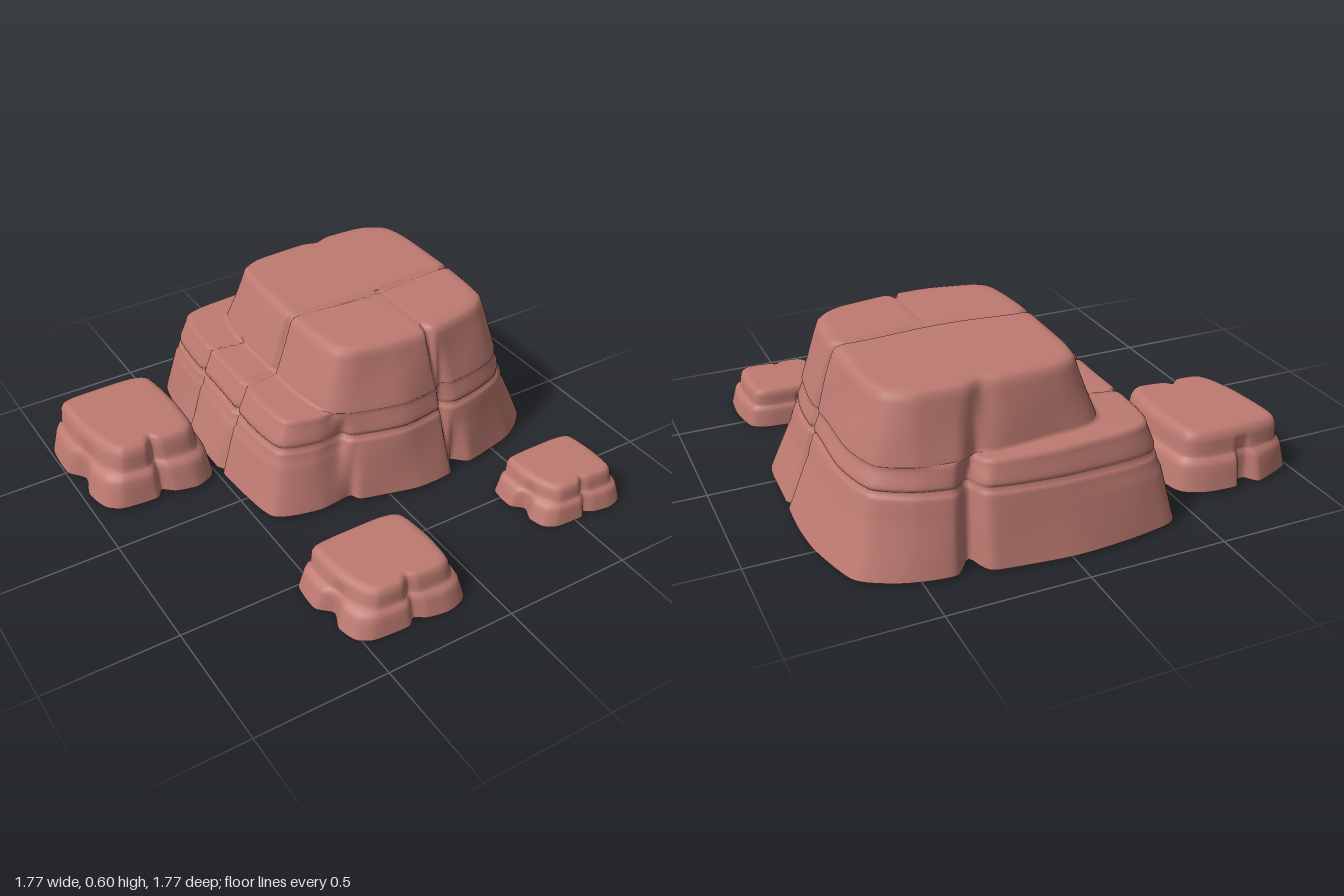
import * as THREE from 'three';

const SEG = 320;
const rockMaterial = new THREE.MeshStandardMaterial({ color: 0xbd7a71, side: THREE.DoubleSide });
rockMaterial.name = 'red sandstone';

// Radius of a closed outline around (cx, cz), sampled at SEG even angles
function radii(points, cx, cz, tension = 0.35) {
  const curve = new THREE.CatmullRomCurve3(
    points.map(([x, z]) => new THREE.Vector3(x - cx, 0, z - cz)), true, 'catmullrom', tension);
  const pts = curve.getPoints(500);
  return Array.from({ length: SEG }, (_, j) => {
    const a = (j / SEG) * Math.PI * 2, dx = Math.cos(a), dz = Math.sin(a);
    let best = 0;
    for (let i = 0; i < pts.length - 1; i++) {
      const p = pts[i], ex = pts[i + 1].x - p.x, ez = pts[i + 1].z - p.z;
      const den = dx * ez - dz * ex;
      if (Math.abs(den) < 1e-9) continue;
      const r = (p.x * ez - p.z * ex) / den;
      const s = (p.x * dz - p.z * dx) / den;
      if (r > best && s >= -1e-6 && s <= 1 + 1e-6) best = r;
    }
    return best;
  });
}

// Open-bottomed shell: keys are [height, radii, inset, steps], closed by a flat cap
function shell(name, keys, cx, cz, warp) {
  const rings = [];
  keys.forEach(([y, r, inset = 0, steps = 1], k) => {
    const prev = k ? keys[k - 1] : null;
    for (let s = prev ? 1 : steps; s <= steps; s++) {
      const t = s / steps;
      rings.push({
        y: prev ? THREE.MathUtils.lerp(prev[0], y, t) : y,
        r: r.map((v, j) => prev
          ? THREE.MathUtils.lerp(prev[1][j] - (prev[2] || 0), v - inset, t) : v - inset),
      });
    }
  });
  const rim = rings[rings.length - 1];
  for (let i = 1; i <= 20; i++) {
    rings.push({ y: rim.y, r: rim.r.map((v) => v * Math.max(1 - i / 20, 0.001)) });
  }
  const pos = [], idx = [];
  rings.forEach(({ y, r }, i) => {
    for (let j = 0; j < SEG; j++) {
      const a = (j / SEG) * Math.PI * 2;
      const p = new THREE.Vector3(cx + r[j] * Math.cos(a), y, cz + r[j] * Math.sin(a));
      if (warp) warp(p, a, r[j]);
      pos.push(p.x, p.y, p.z);
      if (i === rings.length - 1) continue;
      const k = (j + 1) % SEG, A = i * SEG + j, B = i * SEG + k;
      idx.push(A, A + SEG, B, B, A + SEG, B + SEG);
    }
  });
  const g = new THREE.BufferGeometry();
  g.setAttribute('position', new THREE.Float32BufferAttribute(pos, 3));
  g.setIndex(idx);
  g.computeVertexNormals();
  const mesh = new THREE.Mesh(g, rockMaterial);
  mesh.name = name;
  return mesh;
}

// Large stepped rock with a lower ledge round its right and back
function mainRock() {
  const cx = 0.23, cz = -0.2, R = (pts) => radii(pts, cx, cz);
  const base = R([[-0.14, 0.2], [-0.11, 0.24], [0.1, 0.3], [0.27, 0.285], [0.31, 0.22], [0.38, 0.27],
    [0.6, 0.22], [0.74, 0.09], [0.765, -0.2], [0.76, -0.5], [0.7, -0.72], [0.56, -0.8], [0.39, -0.83],
    [0.32, -0.76], [0.27, -0.855], [0, -0.885], [-0.3, -0.86], [-0.42, -0.81], [-0.47, -0.5],
    [-0.485, -0.1], [-0.45, 0.15], [-0.28, 0.21]]);
  const middle = R([[-0.155, 0.15], [-0.12, 0.19], [0.08, 0.245], [0.24, 0.235], [0.27, 0.2], [0.33, 0.225],
    [0.55, 0.175], [0.645, 0.06], [0.67, -0.2], [0.665, -0.5], [0.62, -0.68], [0.5, -0.755], [0.37, -0.775],
    [0.31, -0.73], [0.26, -0.805], [0, -0.835], [-0.27, -0.81], [-0.37, -0.75], [-0.4, -0.5],
    [-0.41, -0.1], [-0.39, 0.1], [-0.26, 0.155]]);
  const upper = R([[-0.2, 0.1], [-0.12, 0.17], [0.08, 0.215], [0.24, 0.21], [0.27, 0.185], [0.32, 0.2],
    [0.53, 0.155], [0.62, 0.05], [0.64, -0.2], [0.635, -0.5], [0.59, -0.66], [0.48, -0.73], [0.34, -0.745],
    [0.27, -0.71], [0.2, -0.725], [-0.1, -0.71], [-0.19, -0.66], [-0.225, -0.5], [-0.23, -0.15]]);
  const ledgeOutline = R([[-0.16, 0.135], [-0.12, 0.17], [0.08, 0.215], [0.24, 0.21], [0.27, 0.185],
    [0.32, 0.2], [0.53, 0.155], [0.62, 0.05], [0.64, -0.2], [0.635, -0.5], [0.59, -0.66], [0.48, -0.73],
    [0.36, -0.755], [0.3, -0.715], [0.24, -0.78], [0, -0.805], [-0.25, -0.785], [-0.34, -0.73],
    [-0.36, -0.5], [-0.37, -0.1], [-0.35, 0.08], [-0.24, 0.13]]);
  const ledge = ledgeOutline.map((v, j) => Math.max(v, upper[j]));
  const ledgeTop = ledge.map((v, j) => Math.max(v - 0.015, upper[j]));
  const crest = R([[-0.14, 0.06], [-0.08, 0.12], [0.08, 0.155], [0.21, 0.155], [0.24, 0.14], [0.28, 0.15],
    [0.47, 0.11], [0.56, 0.03], [0.585, -0.2], [0.58, -0.5], [0.55, -0.62], [0.46, -0.675], [0.3, -0.685],
    [0.23, -0.665], [0.16, -0.68], [-0.05, -0.665], [-0.13, -0.62], [-0.155, -0.5], [-0.165, -0.15]]);

  const keys = [
    [0.055, base], [0.295, middle, 0, 10], [0.308, middle, 0.004], [0.318, middle, 0.02],
    [0.328, middle, 0.01], [0.34, middle, 0.011], [0.395, ledge, 0, 4], [0.408, ledge, 0.003],
    [0.412, ledgeTop], [0.413, upper, 0, 8], [0.425, upper, 0.003],
    [0.605, crest, 0, 9], [0.625, crest, 0.007], [0.637, crest, 0.02], [0.641, crest, 0.04],
  ];
  // Cracks running up the walls and over the top, plus gently tilted seams
  const notch = (d, w) => Math.max(0, 1 - Math.abs(d) / w);
  return shell('mainRock', keys, cx, cz, (p, a, r) => {
    const h = p.y, side = r > 0.3;
    let depth = 0.02 * notch(p.z - cz - 0.012 * Math.sin(p.x * 9), 0.02);
    if (p.z > cz) depth += (side ? 0.016 : 0.004) * notch(p.x - 0.23 - 0.1 * Math.max(0, 0.62 - h), 0.02);
    if (p.x < -0.21 && h < 0.42) depth += 0.018 * notch(p.z + 0.5 - 0.2 * (p.x + 0.4), 0.02);
    const wave = 0.004 * Math.sin(a * 7 + h * 9) * Math.min(1, (0.641 - h) * 8);
    const pull = side ? depth + wave : 0;
    p.x -= Math.cos(a) * pull;
    p.z -= Math.sin(a) * pull;
    if (h > 0.4) p.y -= depth * 0.5;
    else if (h > 0.25) p.y += 0.03 * (p.x - 0.2) * Math.min(1, (0.4 - h) * 12);
  });
}

// Small boulder outlines in unit size, shared by all three boulders
const boulderBase = [[-0.45, -0.4], [-0.17, -0.5], [-0.09, -0.43], [-0.02, -0.43], [0.03, -0.5], [0.28, -0.48],
  [0.44, -0.38], [0.5, 0], [0.48, 0.33], [0.42, 0.45], [0.28, 0.5], [0.12, 0.47], [0.03, 0.41], [-0.04, 0.47],
  [-0.3, 0.45], [-0.41, 0.37], [-0.45, 0.2], [-0.4, 0.04], [-0.49, -0.08], [-0.49, -0.28]];
const boulderCrest = [[-0.37, -0.36], [-0.2, -0.41], [0.2, -0.41], [0.36, -0.34], [0.4, 0], [0.38, 0.28],
  [0.3, 0.36], [0.1, 0.35], [0.03, 0.31], [-0.05, 0.36], [-0.22, 0.34], [-0.3, 0.23], [-0.36, 0]];

function boulder(name, x, z, width, depth, y0, y1) {
  const base = radii(boulderBase, 0, 0), crest = radii(boulderCrest, 0, 0);
  const mix = (t) => base.map((v, j) => THREE.MathUtils.lerp(v, crest[j], t));
  const keys = [
    [0, base], [0.42, mix(0.35), 0, 4], [0.5, mix(0.45), 0.005], [0.54, mix(0.6), 0.015],
    [0.58, mix(0.75), 0.01], [0.86, crest, 0, 4], [0.94, crest, 0.015], [0.985, crest, 0.035], [1, crest, 0.065],
  ];
  const mesh = shell(name, keys, 0, 0);
  mesh.scale.set(width, y1 - y0, depth);
  mesh.position.set(x, y0, z);
  return mesh;
}

export function createModel() {
  const group = new THREE.Group();
  group.name = 'rockFormation';
  group.add(
    mainRock(),
    boulder('sideBoulder', -0.745, -0.44, 0.51, 0.58, 0.055, 0.268),
    boulder('frontRightBoulder', -0.31, 0.665, 0.5, 0.43, 0.045, 0.207),
    boulder('frontLeftBoulder', 0.545, 0.585, 0.41, 0.345, 0.045, 0.188),
  );
  return group;
}
